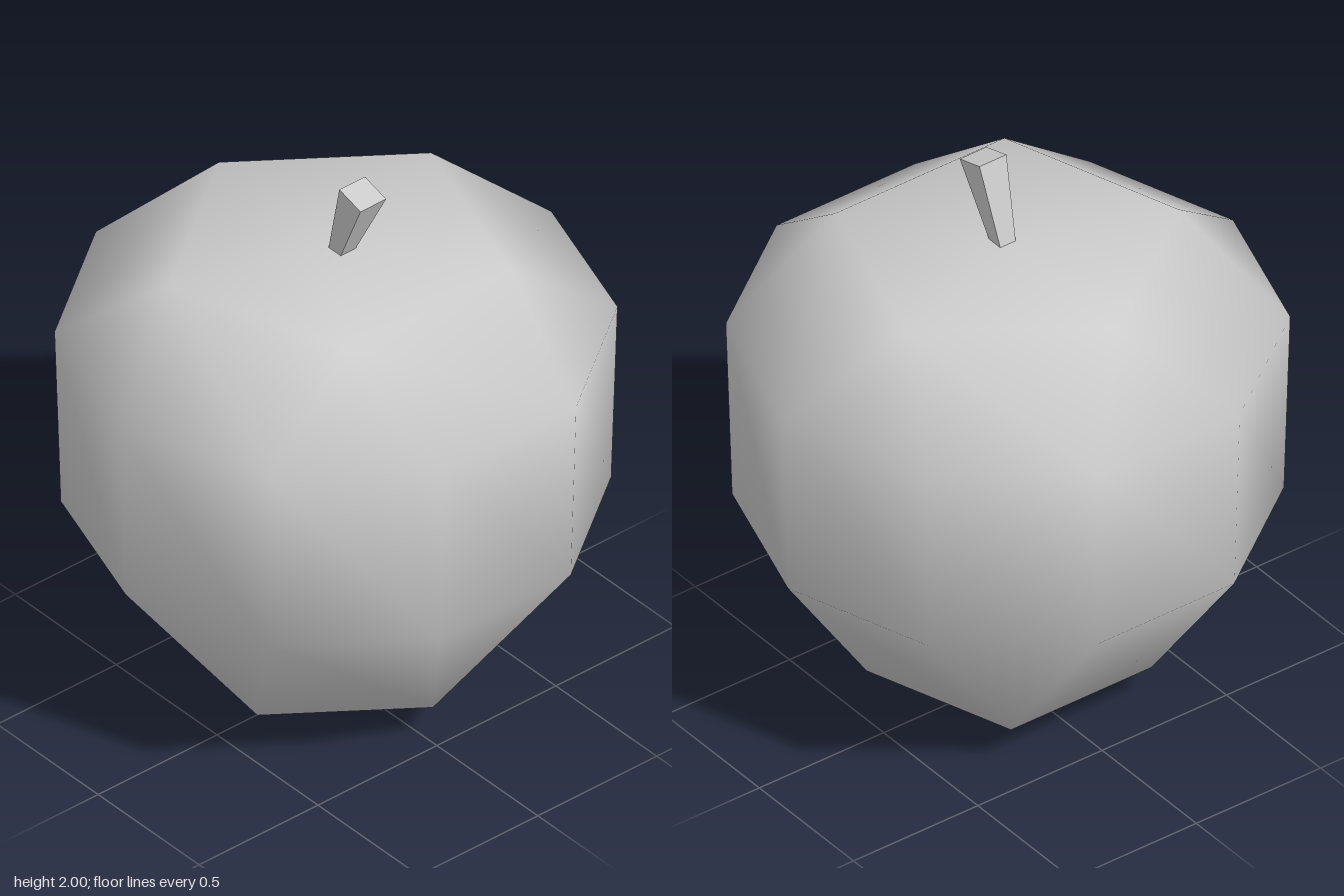
import * as THREE from 'three';

const grey = new THREE.MeshStandardMaterial({ color: 0xcccccc });
grey.name = 'plain grey';

// Ring of n points at height y, starting at the given angle in degrees
function ring(n, r, y, start) {
  return Array.from({ length: n }, (_, i) => {
    const a = THREE.MathUtils.degToRad(start + (i * 360) / n);
    return [r * Math.cos(a), y, r * Math.sin(a)];
  });
}

// Fruit body: pentagon caps joined to two ten-sided belts, smooth shaded
function createBody() {
  const points = [
    [0, 0, 0], // bottom tip
    ...ring(5, 0.48, 0.14, 0), // lower pentagon
    ...ring(10, 0.885, 0.74, 18), // lower belt
    ...ring(10, 0.905, 1.415, 18), // upper belt
    ...ring(5, 0.58, 1.715, 36), // upper pentagon
    [0, 1.715, 0], // top centre
  ];
  const low = (k) => 1 + (k % 5);
  const beltLow = (j) => 6 + ((j + 10) % 10);
  const beltHigh = (j) => 16 + ((j + 10) % 10);
  const high = (k) => 26 + (k % 5);
  const index = [];
  const tri = (a, b, c) => index.push(a, b, c);
  // a, b along the lower edge; c, d back along the upper edge
  const quad = (a, b, c, d) => { tri(a, d, c); tri(a, c, b); };

  for (let j = 0; j < 10; j++) {
    quad(beltLow(j), beltLow(j + 1), beltHigh(j + 1), beltHigh(j));
  }
  for (let k = 0; k < 5; k++) {
    const j = 2 * k;
    // underside
    tri(0, low(k), low(k + 1));
    tri(low(k), beltLow(j - 1), beltLow(j));
    quad(low(k), low(k + 1), beltLow(j + 1), beltLow(j));
    // shoulder and top
    tri(beltHigh(j), high(k), beltHigh(j + 1));
    quad(beltHigh(j + 1), beltHigh(j + 2), high(k + 1), high(k));
    tri(31, high(k + 1), high(k));
  }

  const geometry = new THREE.BufferGeometry();
  geometry.setAttribute('position', new THREE.Float32BufferAttribute(points.flat(), 3));
  geometry.setIndex(index);
  // The corner triangles of the lower cap share the belt's winding
  orientOutward(geometry, new THREE.Vector3(0, 1, 0));
  geometry.computeVertexNormals();
  return geometry;
}

// Flip any triangle that faces the centre of the convex body
function orientOutward(geometry, centre) {
  const p = geometry.attributes.position;
  const idx = geometry.index.array;
  const t = new THREE.Triangle();
  const n = new THREE.Vector3();
  for (let i = 0; i < idx.length; i += 3) {
    t.setFromAttributeAndIndices(p, idx[i], idx[i + 1], idx[i + 2]);
    if (t.getNormal(n).dot(t.a.clone().sub(centre)) < 0) {
      [idx[i + 1], idx[i + 2]] = [idx[i + 2], idx[i + 1]];
    }
  }
}

// Leaning square stem that widens toward its slanted top
function createStem() {
  const geometry = new THREE.BoxGeometry(2, 2, 2);
  const p = geometry.attributes.position;
  for (let i = 0; i < p.count; i++) {
    const sx = p.getX(i);
    const sz = p.getZ(i);
    if (p.getY(i) > 0) p.setXYZ(i, 0.1325 + 0.0525 * sx, 1.985 - 0.015 * sx, 0.054 * sz);
    else p.setXYZ(i, 0.0205 + 0.0275 * sx, 1.69, 0.029 * sz);
  }
  geometry.computeVertexNormals();
  return geometry;
}

export function createModel() {
  const model = new THREE.Group();
  model.name = 'fruit';
  for (const [name, geometry] of [['body', createBody()], ['stem', createStem()]]) {
    const mesh = new THREE.Mesh(geometry, grey);
    mesh.name = name;
    model.add(mesh);
  }
  return model;
}
